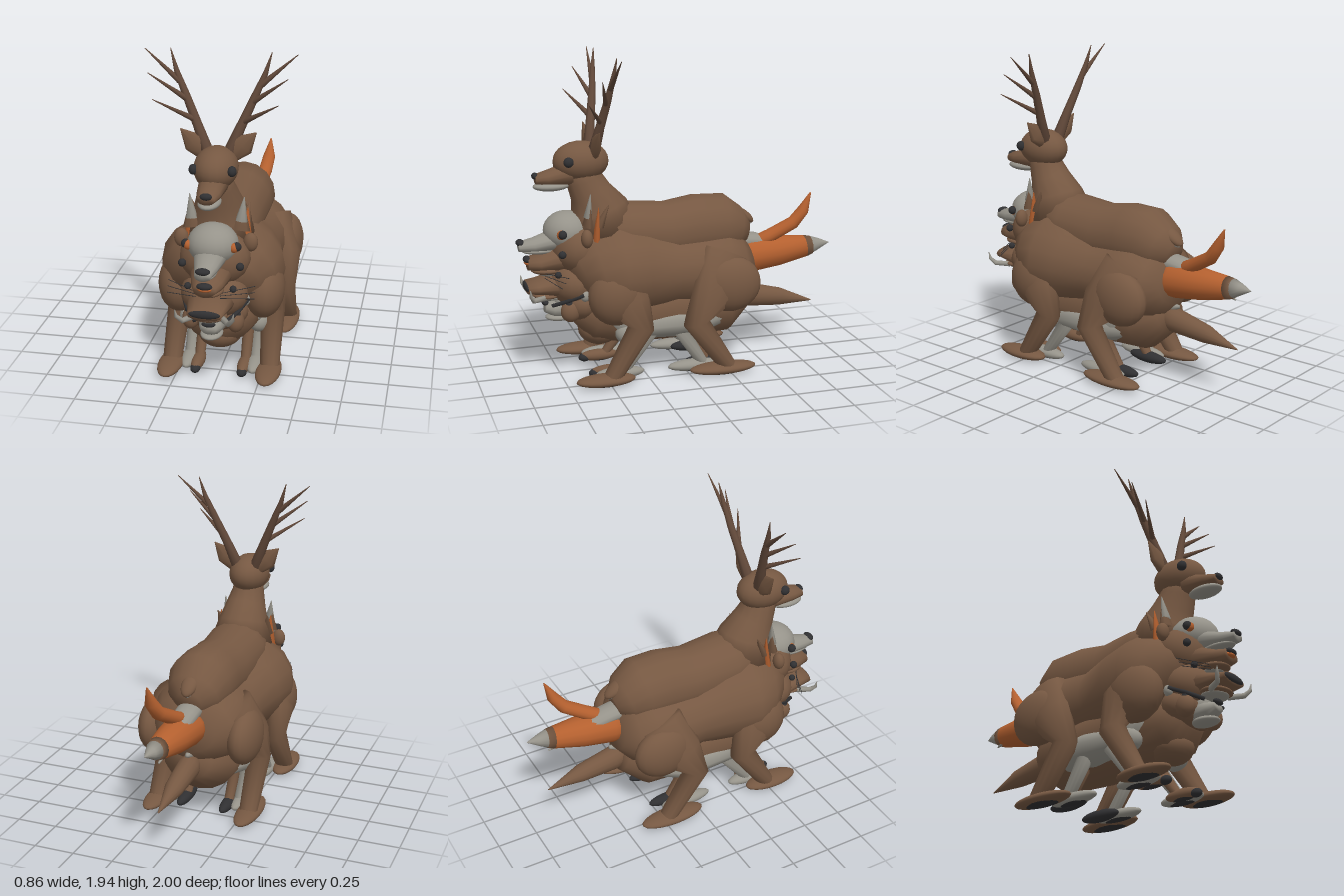
import * as THREE from 'three';

const material = (name, color) => {
  const m = new THREE.MeshStandardMaterial({ color });
  m.name = name;
  return m;
};

export function createModel() {
  const model = new THREE.Group();
  model.name = 'manyHeadedBeast';
  const brown = material('brown fur', 0x765842);
  const horn = material('antler brown', 0x62493a);
  const grey = material('grey fur', 0x96938a);
  const orange = material('orange fur', 0xb4602f);
  const dark = material('dark nose', 0x303032);

  const add = (name, geometry, mat) => {
    const mesh = new THREE.Mesh(geometry, mat);
    mesh.name = name;
    model.add(mesh);
    return mesh;
  };
  // Stretched ball
  const ball = (name, mat, [x, y, z], [rx, ry, rz], tilt = 0) => {
    const mesh = add(name, new THREE.SphereGeometry(1, 20, 14), mat);
    mesh.position.set(x, y, z);
    mesh.scale.set(rx, ry, rz);
    mesh.rotation.x = tilt;
  };
  // Closed skin over oval sections; each section is [x, y, z, halfWidth, halfHeight]
  const loft = (name, mat, sections, sides = 14) => {
    const centres = sections.map(s => new THREE.Vector3(s[0], s[1], s[2]));
    const pos = [], idx = [], last = sections.length - 1;
    sections.forEach((s, i) => {
      const t = centres[Math.min(i + 1, last)].clone().sub(centres[Math.max(i - 1, 0)]).normalize();
      const side = new THREE.Vector3(1, 0, 0).addScaledVector(t, -t.x).normalize();
      const up = t.clone().cross(side);
      for (let j = 0; j < sides; j++) {
        const a = (j / sides) * Math.PI * 2;
        const p = centres[i].clone().addScaledVector(side, Math.cos(a) * s[3])
          .addScaledVector(up, Math.sin(a) * (s[4] ?? s[3]));
        pos.push(p.x, p.y, p.z);
      }
    });
    const n = pos.length / 3;
    for (const c of [centres[0], centres[last]]) pos.push(c.x, c.y, c.z);
    for (let j = 0; j < sides; j++) {
      const k = (j + 1) % sides;
      for (let i = 0; i < last; i++) {
        const a = i * sides, b = a + sides;
        idx.push(a + j, a + k, b + j, a + k, b + k, b + j);
      }
      idx.push(n, k, j, n + 1, last * sides + j, last * sides + k);
    }
    const g = new THREE.BufferGeometry();
    g.setAttribute('position', new THREE.Float32BufferAttribute(pos, 3));
    g.setIndex(idx);
    g.computeVertexNormals();
    add(name, g, mat);
  };
  const both = fn => [1, -1].forEach(fn);
  const cone = (name, mat, from, to, r0, r1 = r0) =>
    loft(name, mat, [[...from, r0, r1], [...to, 0.002, 0.002]], 8);

  // Bodies
  loft('broadBody', brown, [
    [0, 0.58, 0.64, 0.16, 0.16], [0, 0.61, 0.6, 0.26, 0.24], [0, 0.63, 0.52, 0.335, 0.285],
    [0, 0.65, 0.4, 0.37, 0.31], [0, 0.64, 0.25, 0.335, 0.285], [0, 0.62, 0.05, 0.29, 0.24],
    [0, 0.62, -0.14, 0.31, 0.25], [0, 0.62, -0.27, 0.31, 0.265], [0, 0.62, -0.38, 0.26, 0.21],
    [0, 0.63, -0.45, 0.17, 0.13]], 18);
  loft('upperBody', brown, [
    [0, 0.86, 0.56, 0.1, 0.1], [0, 0.87, 0.48, 0.18, 0.17], [0, 0.86, 0.34, 0.205, 0.19],
    [0, 0.83, 0.08, 0.19, 0.2], [0, 0.85, -0.12, 0.2, 0.21], [0, 0.85, -0.27, 0.2, 0.205],
    [0, 0.82, -0.37, 0.16, 0.15], [0, 0.8, -0.44, 0.08, 0.08]], 16);
  loft('lowBody', brown, [
    [0, 0.43, 0.63, 0.14, 0.11], [0, 0.4, 0.54, 0.21, 0.19], [0, 0.39, 0.34, 0.26, 0.215],
    [0, 0.39, 0, 0.25, 0.22], [0, 0.39, -0.28, 0.24, 0.205], [0, 0.43, -0.41, 0.13, 0.12]], 16);
  loft('greyBelly', grey, [
    [0, 0.32, 0.4, 0.2, 0.07], [0, 0.32, 0.27, 0.27, 0.115], [0, 0.325, 0.07, 0.285, 0.13],
    [0, 0.32, -0.12, 0.27, 0.115], [0, 0.33, -0.28, 0.2, 0.07]]);
  ball('chest', brown, [0, 0.27, 0.5], [0.135, 0.1, 0.13]);

  // Legs lean inward at the hip; each has a foot and a dark sole
  const leg = (name, mat, s, [hipX, x, footX], hip, knee, ankle, r, foot, half, footMat = mat) => {
    const at = (px, p, a, b) => [s * px, p[1], p[0], a, b];
    const mid = [hip[0] * 0.55 + knee[0] * 0.45, hip[1] * 0.5 + knee[1] * 0.5];
    loft(name, mat, [at(hipX, hip, r * 0.9, r * 1.65), at(x, mid, r * 1.03, r * 1.7),
      at(x, [knee[0], knee[1] + 0.03], r * 0.85, r * 0.95), at(footX, ankle, r * 0.68, r * 0.6)], 12);
    ball(name + 'Foot', footMat, [s * footX, 0.038, foot], [r * 0.88, 0.036, half]);
    ball(name + 'Sole', dark, [s * footX, 0.021, foot], [r * 0.68, 0.02, half * 0.72]);
  };
  both(s => {
    leg('frontLeg', brown, s, [0.24, 0.285, 0.295], [0.46, 0.68], [0.31, 0.31], [0.49, 0.05], 0.085, 0.53, 0.18);
    leg('hindLeg', brown, s, [0.23, 0.298, 0.3], [-0.24, 0.74], [-0.03, 0.31], [-0.23, 0.05], 0.085, -0.2, 0.21);
    leg('innerFrontLeg', grey, s, [0.2, 0.2, 0.2], [0.42, 0.42], [0.24, 0.24], [0.4, 0.05], 0.055, 0.42, 0.15);
    leg('innerHindLeg', grey, s, [0.2, 0.2, 0.2], [-0.16, 0.42], [0.04, 0.24], [-0.1, 0.05], 0.055, -0.05, 0.17);
    leg('nearFrontLeg', brown, s, [0.14, 0.14, 0.14], [0.42, 0.4], [0.27, 0.24], [0.43, 0.05], 0.045, 0.47, 0.12);
    leg('nearHindLeg', brown, s, [0.14, 0.14, 0.14], [-0.2, 0.4], [0.01, 0.24], [-0.14, 0.05], 0.045, -0.14, 0.14, dark);
    ball('shoulder', brown, [s * 0.25, 0.54, 0.45], [0.125, 0.18, 0.17]);
    ball('thigh', brown, [s * 0.285, 0.56, -0.25], [0.1, 0.17, 0.19]);
    ball('greyElbow', grey, [s * 0.21, 0.29, 0.37], [0.065, 0.07, 0.08]);
    ball('toes', dark, [s * 0.14, 0.03, 0.56], [0.03, 0.026, 0.04]);
  });

  // Stag neck and head
  loft('stagNeck', brown, [[0, 0.88, 0.46, 0.2, 0.22], [0, 1.02, 0.49, 0.155, 0.175],
    [0, 1.12, 0.54, 0.125, 0.125], [0, 1.2, 0.575, 0.1, 0.11], [0, 1.3, 0.6, 0.08, 0.1]]);
  ball('stagHead', brown, [0, 1.31, 0.595], [0.125, 0.12, 0.168]);
  loft('stagMuzzle', brown, [[0, 1.24, 0.66, 0.085, 0.07], [0, 1.22, 0.8, 0.068, 0.045],
    [0, 1.215, 0.87, 0.05, 0.03]]);
  ball('stagJaw', grey, [0, 1.17, 0.775], [0.064, 0.03, 0.11]);
  ball('stagNose', dark, [0, 1.235, 0.87], [0.034, 0.02, 0.02]);
  both(s => {
    ball('stagEye', dark, [s * 0.108, 1.325, 0.69], [0.026, 0.03, 0.03]);
    loft('stagEar', brown, [[s * 0.08, 1.37, 0.53, 0.045, 0.025], [s * 0.14, 1.43, 0.53, 0.065, 0.025],
      [s * 0.215, 1.505, 0.53, 0.003, 0.003]], 8);
    loft('antlerBeam', horn, [[s * 0.06, 1.37, 0.53, 0.038], [s * 0.12, 1.52, 0.505, 0.028],
      [s * 0.19, 1.68, 0.475, 0.023], [s * 0.25, 1.82, 0.455, 0.015], [s * 0.285, 1.94, 0.44, 0.002]], 8);
    [[0.13, 1.55, 0.5, 0.35, 1.69, 0.62], [0.18, 1.66, 0.48, 0.39, 1.82, 0.55],
      [0.23, 1.76, 0.465, 0.43, 1.935, 0.45]].forEach(([a, b, c, d, e, f]) =>
      cone('antlerTine', horn, [s * a, b, c], [s * d, e, f], 0.018));
  });

  // Grey wolf head
  ball('wolfHead', grey, [0, 0.895, 0.69], [0.145, 0.12, 0.14]);
  loft('wolfMuzzle', grey, [[0, 0.85, 0.74, 0.1, 0.065], [0, 0.82, 0.89, 0.065, 0.045],
    [0, 0.815, 0.98, 0.045, 0.03]]);
  ball('wolfJaw', grey, [0, 0.785, 0.85], [0.055, 0.022, 0.11]);
  ball('wolfNose', dark, [0, 0.84, 0.97], [0.042, 0.02, 0.025]);

  // Bear head
  ball('bearHead', brown, [0, 0.79, 0.63], [0.205, 0.165, 0.16]);
  loft('bearMuzzle', brown, [[0, 0.74, 0.7, 0.13, 0.09], [0, 0.71, 0.86, 0.09, 0.052],
    [0, 0.71, 0.93, 0.065, 0.04]]);
  ball('bearNose', dark, [0, 0.735, 0.93], [0.045, 0.02, 0.025]);
  ball('orangeMuzzle', orange, [0, 0.715, 0.9], [0.05, 0.018, 0.05]);
  ball('bearJaw', brown, [0, 0.665, 0.81], [0.085, 0.028, 0.1]);
  ball('greyLip', grey, [0, 0.645, 0.79], [0.06, 0.02, 0.08]);

  // Boar head
  ball('boarHead', brown, [0, 0.58, 0.66], [0.195, 0.14, 0.15]);
  loft('boarSnout', brown, [[0, 0.57, 0.74, 0.14, 0.08], [0, 0.565, 0.88, 0.11, 0.045],
    [0, 0.565, 0.94, 0.1, 0.035]]);
  ball('snoutDisc', dark, [0, 0.57, 0.94], [0.09, 0.024, 0.016]);
  ball('boarJaw', brown, [0, 0.515, 0.82], [0.105, 0.025, 0.09]);
  ball('greyChin', grey, [0, 0.5, 0.81], [0.085, 0.022, 0.08]);

  // Badger head
  ball('badgerHead', brown, [0, 0.46, 0.62], [0.19, 0.12, 0.13]);
  ball('badgerStripe', grey, [0, 0.46, 0.68], [0.085, 0.105, 0.1]);
  loft('badgerMuzzle', grey, [[0, 0.42, 0.68, 0.09, 0.07], [0, 0.42, 0.78, 0.065, 0.05],
    [0, 0.43, 0.83, 0.045, 0.03]]);
  ball('badgerNose', dark, [0, 0.46, 0.83], [0.04, 0.018, 0.02]);
  ball('badgerJaw', grey, [0, 0.365, 0.74], [0.065, 0.025, 0.09]);

  // Paired face details
  both(s => {
    cone('wolfEarBase', brown, [s * 0.135, 0.95, 0.59], [s * 0.155, 1.1, 0.575], 0.06, 0.03);
    cone('wolfEar', grey, [s * 0.142, 1.0, 0.59], [s * 0.157, 1.14, 0.575], 0.036, 0.026);
    cone('foxEar', orange, [s * 0.155, 0.86, 0.545], [s * 0.17, 1.06, 0.53], 0.045, 0.025);
    cone('pointedEar', brown, [s * 0.14, 0.95, 0.52], [s * 0.17, 1.07, 0.47], 0.05, 0.03);
    ball('bearEar', brown, [s * 0.2, 0.885, 0.61], [0.042, 0.055, 0.035]);
    ball('boarEar', brown, [s * 0.17, 0.68, 0.58], [0.055, 0.06, 0.04]);
    ball('badgerEar', grey, [s * 0.17, 0.53, 0.62], [0.03, 0.035, 0.03]);
    ball('cheek', brown, [s * 0.13, 0.43, 0.7], [0.05, 0.065, 0.06]);
    ball('orangeEye', orange, [s * 0.13, 0.9, 0.748], [0.026, 0.028, 0.026]);
    [[0.145, 0.905, 0.742, 0.026], [0.165, 0.79, 0.75, 0.023], [0.13, 0.66, 0.77, 0.02],
      [0.14, 0.48, 0.71, 0.022]].forEach(([x, y, z, r]) => ball('eye', dark, [s * x, y, z], [r, r, r]));
    loft('tusk', grey, [[s * 0.08, 0.51, 0.84, 0.018, 0.018], [s * 0.13, 0.515, 0.92, 0.016, 0.016],
      [s * 0.16, 0.55, 0.94, 0.011, 0.011], [s * 0.165, 0.59, 0.945, 0.002, 0.002]], 8);
    loft('cheekStripe', dark, [[s * 0.085, 0.46, 0.8, 0.012, 0.012], [s * 0.15, 0.5, 0.72, 0.012, 0.012],
      [s * 0.19, 0.54, 0.63, 0.012, 0.012]], 8);
    for (let i = 0; i < 3; i++)
      cone('whisker', dark, [s * 0.07, 0.66 - i * 0.015, 0.84], [s * 0.25, 0.67 - i * 0.03, 0.73 + i * 0.02], 0.0018);
  });

  // Tails
  loft('foxTail', orange, [[0, 0.64, -0.36, 0.1, 0.09], [0.01, 0.655, -0.47, 0.12, 0.112],
    [0.015, 0.665, -0.66, 0.1, 0.095], [0.02, 0.68, -0.84, 0.066, 0.068]]);
  loft('tailBand', brown, [[0.02, 0.68, -0.838, 0.067, 0.069], [0.022, 0.685, -0.88, 0.056, 0.058]]);
  loft('foxTailTip', grey, [[0.022, 0.685, -0.875, 0.057, 0.058], [0.025, 0.69, -0.93, 0.036, 0.035],
    [0.03, 0.695, -1, 0.002, 0.002]]);
  loft('catTail', orange, [[0, 0.7, -0.46, 0.045, 0.045], [0.03, 0.77, -0.6, 0.05, 0.042],
    [0.06, 0.85, -0.74, 0.045, 0.04], [0.075, 0.93, -0.8, 0.04, 0.035],
    [0.08, 1.04, -0.845, 0.004, 0.004]]);
  loft('wolfTail', grey, [[0, 0.76, -0.36, 0.08, 0.05], [0, 0.74, -0.5, 0.075, 0.05],
    [0, 0.68, -0.7, 0.05, 0.04], [0, 0.61, -0.88, 0.004, 0.004]]);
  loft('lowTail', brown, [[0, 0.4, -0.34, 0.05, 0.07], [0, 0.39, -0.46, 0.07, 0.075],
    [0, 0.355, -0.68, 0.055, 0.055], [0, 0.31, -0.9, 0.003, 0.003]]);
  loft('greyTailRoot', grey, [[0, 0.46, -0.36, 0.05, 0.05], [0, 0.48, -0.48, 0.01, 0.01]]);
  ball('stagTail', brown, [0, 0.915, -0.415], [0.05, 0.035, 0.095], -0.6);
  ball('stagTailUnderside', grey, [0, 0.89, -0.42], [0.036, 0.02, 0.07], -0.6);

  return model;
}
